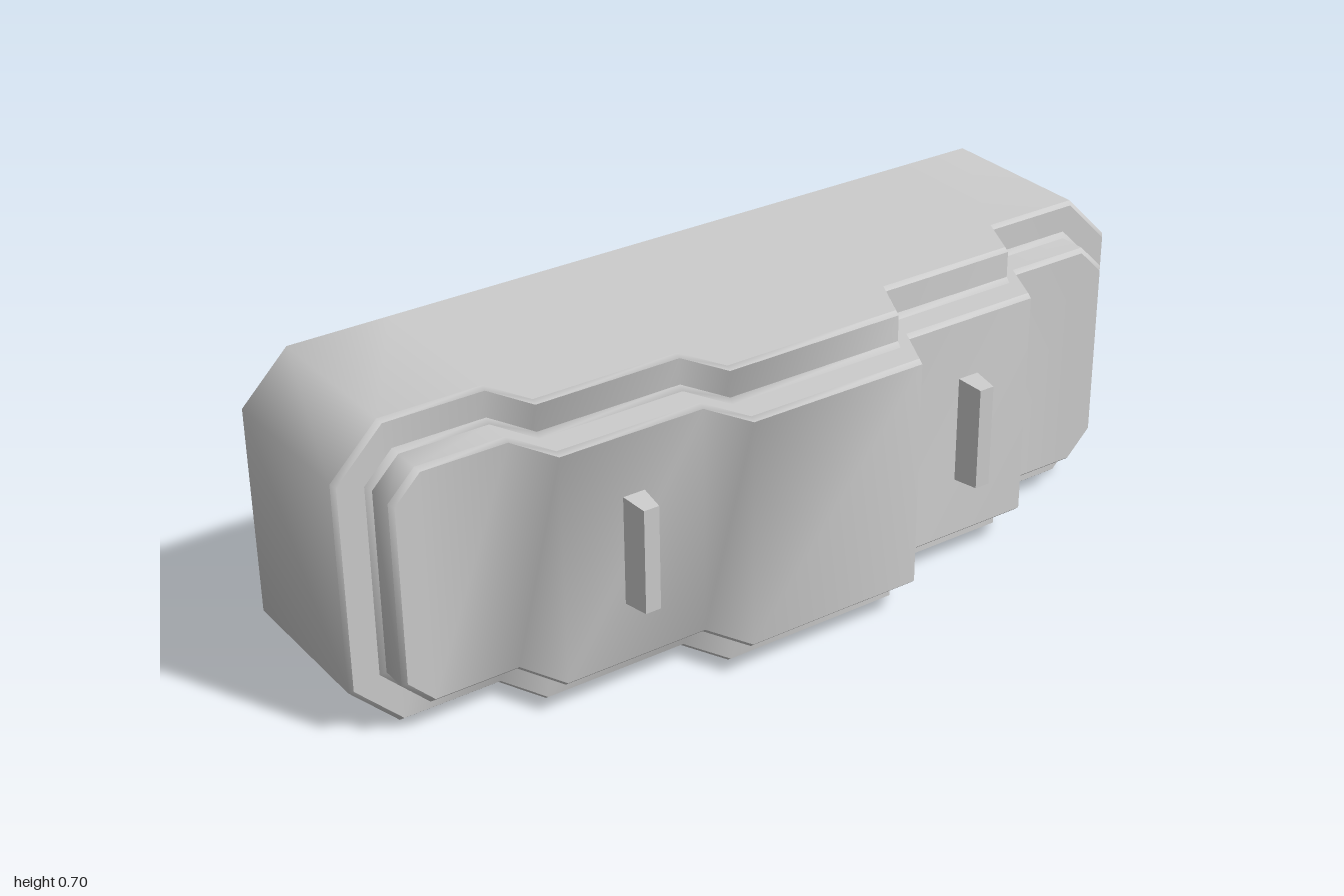
import * as THREE from 'three';
import { mergeGeometries, toCreasedNormals } from 'three/addons/utils/BufferGeometryUtils.js';

const CY = 0.352;      // mid height
const BACK = -0.347;   // x of the back face
const SMOOTH = 1.2;    // edges softer than this angle are shaded smoothly

const material = new THREE.MeshStandardMaterial({ color: 0xcccccc });

// stepped front profile: x as a function of z
const steps = [[0.215, 0.265], [0.265, 0.16], [0.605, 0.16], [0.655, 0.052]];
function profile(z) {
  const a = Math.abs(z);
  if (a <= steps[0][0]) return steps[0][1];
  for (let i = 1; i < steps.length; i++) {
    const [z0, x0] = steps[i - 1], [z1, x1] = steps[i];
    if (a <= z1) return x0 + (x1 - x0) * (a - z0) / (z1 - z0);
  }
  return 0.052;
}

// chamfered rectangle in the z-y plane, with extra points at every step
function ring(hz, hy, c, xAt) {
  const half = [...steps.map(s => s[0]), hz - c];
  const zs = [...half.map(z => -z).reverse(), ...half];
  const top = zs.map(z => [z, hy]);
  const bottom = zs.map(z => [z, -hy]).reverse();
  return [...top, [hz, hy - c], [hz, c - hy], ...bottom, [-hz, c - hy], [-hz, hy - c]]
    .map(([z, y]) => new THREE.Vector3(xAt(z), CY + y, z));
}

function quads(list) {
  const pos = [];
  for (const [a, b, c, d] of list)
    for (const p of [a, b, c, a, c, d]) pos.push(p.x, p.y, p.z);
  const g = new THREE.BufferGeometry();
  g.setAttribute('position', new THREE.Float32BufferAttribute(pos, 3));
  return toCreasedNormals(g, SMOOTH);
}

// wall between two loops
function skirt(a, b) {
  return quads(a.map((p, i) => {
    const j = (i + 1) % a.length;
    return [p, a[j], b[j], b[i]];
  }));
}

// stepped surface closing a ring towards +x
function cap(r) {
  const n = r.length / 2 - 2;
  const top = [r[2 * n + 3], ...r.slice(0, n + 1)];
  const bottom = [...r.slice(n + 1, 2 * n + 3)].reverse();
  return quads(top.slice(1).map((t, i) => [top[i], t, bottom[i + 1], bottom[i]]));
}

function shell(rings) {
  const parts = rings.slice(1).map((r, i) => skirt(rings[i], r));
  return mergeGeometries([...parts, cap(rings[rings.length - 1])]);
}

function roundedRect(hz, hy, r) {
  const s = new THREE.Shape();
  [[hz - r, hy - r], [r - hz, hy - r], [r - hz, r - hy], [hz - r, r - hy]]
    .forEach(([z, y], i) => s.absarc(z, y, r, i * Math.PI / 2, (i + 1) * Math.PI / 2));
  return s;
}

// flat shape turned to face -x
function backFace(shape, x) {
  return new THREE.ShapeGeometry(shape, 6).rotateY(-Math.PI / 2).translate(x, CY, 0);
}

export function createModel() {
  const group = new THREE.Group();
  const add = (name, geometry) => {
    const mesh = new THREE.Mesh(geometry, material);
    mesh.name = name;
    group.add(mesh);
    return mesh;
  };

  // main body with thin bevels at back and front
  add('body', shell([
    ring(0.988, 0.34, 0.108, () => BACK),
    ring(1, 0.352, 0.11, () => BACK + 0.012),
    ring(1, 0.352, 0.11, z => profile(z) - 0.01),
    ring(0.992, 0.344, 0.108, profile),
  ]));

  // raised front panel following the steps
  const panel = (hz, hy, c, off) => ring(hz, hy, c, z => profile(z) + off);
  add('frontPanel', shell([
    panel(0.932, 0.284, 0.065, 0),
    panel(0.921, 0.273, 0.062, 0.01),
    panel(0.921, 0.273, 0.062, 0.072),
    panel(0.912, 0.264, 0.06, 0.082),
  ]));

  // back rim around a shallow rounded recess
  const recess = roundedRect(0.865, 0.215, 0.05);
  const rim = new THREE.Shape(ring(0.988, 0.34, 0.108, () => 0)
    .map(p => new THREE.Vector2(p.z, p.y - CY)));
  rim.holes.push(recess);
  add('backRim', backFace(rim, BACK));

  const depth = 0.015;
  const loop = x => recess.getPoints(6).map(p => new THREE.Vector3(x, CY + p.y, p.x));
  add('recessWall', skirt(loop(BACK), loop(BACK + depth))).material =
    new THREE.MeshStandardMaterial({ color: 0xcccccc, side: THREE.DoubleSide });
  add('backPanel', backFace(recess, BACK + depth));

  // two tapered upright handles
  for (const side of [-1, 1]) {
    const g = new THREE.BoxGeometry(0.08, 0.254, 0.056);
    const p = g.attributes.position;
    for (let i = 0; i < p.count; i++)
      if (p.getX(i) > 0) p.setXYZ(i, p.getX(i), p.getY(i) * 0.95, p.getZ(i) * 0.65);
    g.computeVertexNormals();
    add(side > 0 ? 'frontHandle' : 'rearHandle', g).position.set(0.265, CY, side * 0.435);
  }
  return group;
}
